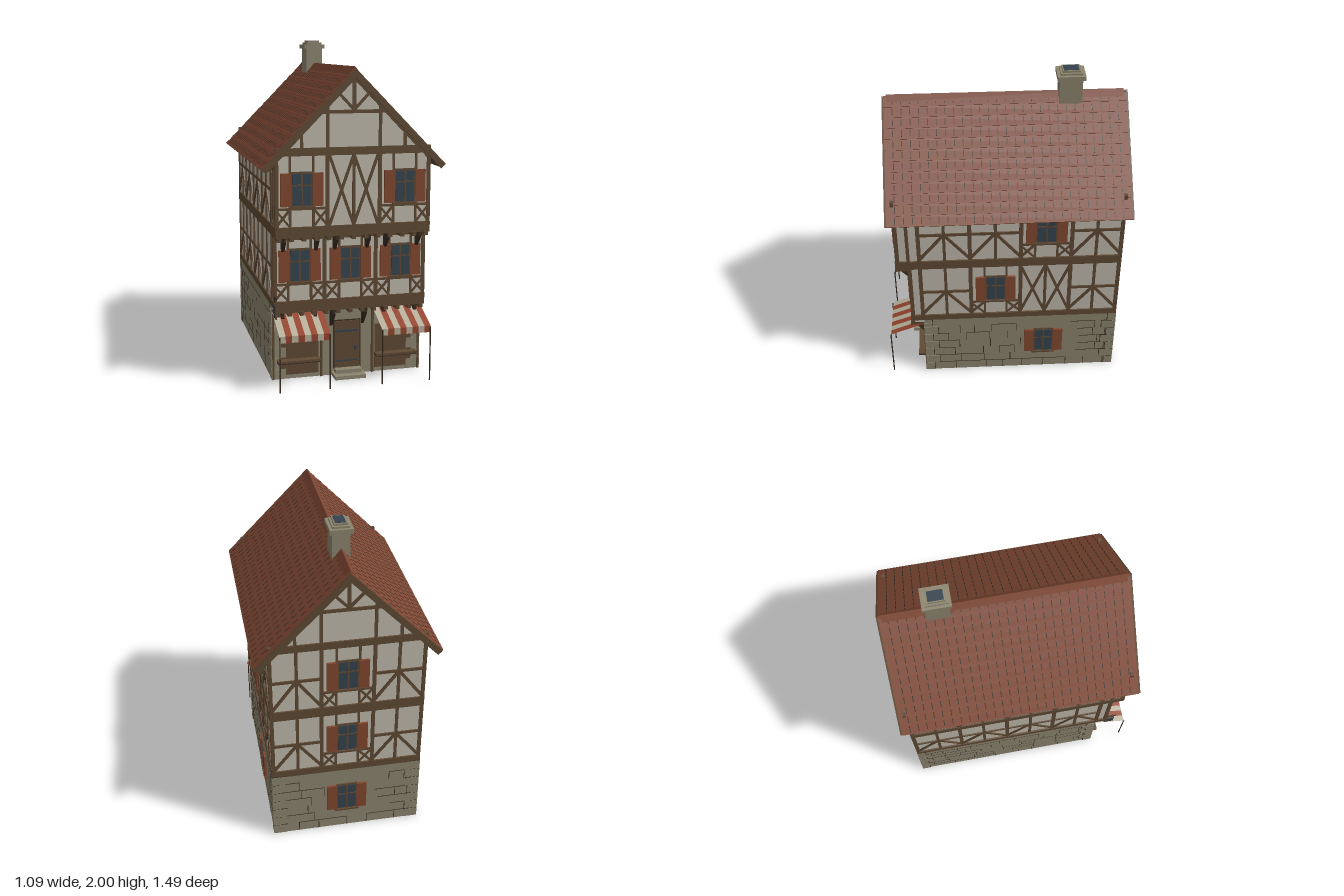
import * as THREE from 'three';
import { mergeGeometries } from 'three/addons/utils/BufferGeometryUtils.js';

const paint = (name, color, side = THREE.FrontSide) => {
  const m = new THREE.MeshStandardMaterial({ color, side });
  m.name = name;
  return m;
};

export function createModel() {
  const M = {
    plaster: paint('plaster', 0xc2bcae), stone: paint('stone', 0x8d866f), timber: paint('timber', 0x604a34),
    tile: paint('roof tile', 0x7d4733), shutter: paint('shutter red', 0x84482f), glass: paint('blue glass', 0x36444f),
    dark: paint('dark iron', 0x3a2d22), red: paint('awning red', 0x96452f, THREE.DoubleSide),
    cream: paint('awning cream', 0xb9b19d, THREE.DoubleSide),
  };
  const root = new THREE.Group();
  root.name = 'timberFramedHouse';
  let seed = 7;
  const rnd = () => (seed = (seed * 16807) % 2147483647) / 2147483647;

  // Collects geometry by colour, then makes one named mesh per colour
  function part(name, pos, rotY, build) {
    const bins = {};
    const p = {
      add(mat, geo) {
        const g = geo.index ? geo.toNonIndexed() : geo;
        (bins[mat] ||= []).push(g);
      },
      // box given by its min and max on each axis
      box(mat, x0, x1, y0, y1, z0, z1) {
        p.add(mat, new THREE.BoxGeometry(x1 - x0, y1 - y0, z1 - z0).translate((x0 + x1) / 2, (y0 + y1) / 2, (z0 + z1) / 2));
      },
      // timber lying on the wall plane
      beam(x0, y0, x1, y1, w = 0.018, proud = 0.008, mat = 'timber') {
        const g = new THREE.BoxGeometry(Math.hypot(x1 - x0, y1 - y0), w, proud * 2);
        g.rotateZ(Math.atan2(y1 - y0, x1 - x0));
        p.add(mat, g.translate((x0 + x1) / 2, (y0 + y1) / 2, 0));
      },
    };
    build(p);
    const group = new THREE.Group();
    group.name = name;
    group.position.set(...pos);
    group.rotation.y = rotY;
    for (const mat in bins) {
      const mesh = new THREE.Mesh(mergeGeometries(bins[mat]), M[mat]);
      mesh.name = `${name} ${M[mat].name}`;
      group.add(mesh);
    }
    root.add(group);
    return group;
  }

  // Window with cross bars, frame, sill and two shutters
  function windowAt(p, x, y, z = 0) {
    const w = 0.06, h = 0.095;
    p.box('timber', x - w - 0.007, x + w + 0.007, y - h - 0.007, y + h + 0.007, z, z + 0.007);
    p.box('glass', x - w + 0.005, x + w - 0.005, y - h + 0.005, y + h - 0.005, z, z + 0.011);
    p.box('timber', x - 0.005, x + 0.005, y - h, y + h, z, z + 0.014);
    p.box('timber', x - w, x + w, y + 0.022, y + 0.03, z, z + 0.014);
    p.box('timber', x - w - 0.015, x + w + 0.015, y - h - 0.012, y - h, z, z + 0.018);
    for (const s of [-1, 1]) {
      const c = x + s * (w + 0.033);
      p.box('shutter', c - 0.031, c + 0.031, y - h, y + h, z, z + 0.014);
    }
  }
  // Framing patterns for one bay
  function kBay(p, a, b, y0, y1) {
    const m = (a + b) / 2, r = y0 + (y1 - y0) * 0.5;
    p.beam(m, y0, m, y1);
    p.beam(a, r, b, r);
    p.beam(m, r, a, y0 + 0.01);
    p.beam(m, r, b, y0 + 0.01);
  }
  function xBay(p, a, b, y0, y1) {
    const m = (a + b) / 2;
    p.beam(m, y0, m, y1);
    for (const [l, r] of [[a, m], [m, b]]) {
      p.beam(l, y0, r, y1, 0.016, 0.0075);
      p.beam(l, y1, r, y0, 0.016, 0.007);
    }
  }
  function windowBay(p, a, b, y0, y1, yc) {
    const m = (a + b) / 2;
    p.beam(a, yc - 0.11, b, yc - 0.11, 0.014);
    for (const s of [-1, 1]) {
      const e = m + s * (b - a) / 2;
      p.beam(m + s * 0.068, y0, m + s * 0.068, y1, 0.014, 0.006);
      p.beam(e, y0 + 0.01, m + s * 0.075, yc - 0.12, 0.014);
      p.beam(m + s * 0.068, y0, e, yc - 0.12, 0.012, 0.006);
    }
    windowAt(p, m, yc);
  }
  // Mortar joints over a stone wall
  function joints(p, a, b, z, skip) {
    for (let i = 1; i < 7; i++) {
      const y = i * 0.066;
      for (let x = a + 0.06; x < b - 0.1;) {
        const e = Math.min(b - 0.06, x + 0.09 + rnd() * 0.12);
        const hit = skip && x < skip + 0.14 && e > skip - 0.14 && y > 0.1 && y < 0.4;
        if (!hit) {
          if (rnd() < 0.7) p.box('dark', x, e, y - 0.002, y + 0.002, z - 0.002, z + 0.001);
          p.box('dark', e - 0.002, e + 0.002, y - 0.066, y, z - 0.002, z + 0.001);
        }
        x = e;
      }
    }
  }

  // Plaster bodies of the two jettied storeys and the gable
  part('plasterBody', [0, 0, 0], 0, (p) => {
    p.box('plaster', -0.452, 0.452, 0.435, 0.94, -0.702, 0.592);
    const s = new THREE.Shape([[-0.452, 0.9], [0.452, 0.9], [0.452, 1.345], [0, 1.81], [-0.452, 1.345]].map((q) => new THREE.Vector2(...q)));
    p.add('plaster', new THREE.ExtrudeGeometry(s, { depth: 1.364, bevelEnabled: false }).translate(0, 0, -0.702));
  });

  // Hollow stone ground floor with wooden lining and corner blocks
  part('groundFloor', [0, 0, 0], 0, (p) => {
    for (const s of [-1, 1]) {
      const x = (a, b) => (s > 0 ? [a, b] : [-b, -a]);
      p.box('stone', ...x(0.43, 0.458), 0, 0.465, -0.71, 0.52);
      p.box('timber', ...x(0.424, 0.43), 0, 0.434, -0.68, 0.49);
      for (let i = 0; i < 7; i++) {
        const w = i % 2 ? 0.05 : 0.085, v = i % 2 ? 0.085 : 0.05, y0 = i * 0.066 + 0.002, y1 = y0 + 0.062;
        p.box('stone', ...x(0.46 - w, 0.462), y0, y1, -0.714, -0.71 + v);
        p.box('stone', ...x(0.46 - w, 0.462), y0, Math.min(y1, 0.43), 0.52 - v, 0.524);
        for (const [z, d] of [[-0.71 + v, 1], [0.52 - v, -1]])
          p.box('dark', ...x(0.456, 0.4615), y0, y1, z - (d < 0 ? 0.004 : 0), z + (d > 0 ? 0.004 : 0));
        p.box('dark', ...x(0.457 - w, 0.4615), y1, y1 + 0.004, -0.7125, -0.71 + v);
      }
      // shop front boarding, counter and posts
      p.box('timber', ...x(0.175, 0.405), 0.025, 0.3, 0.515, 0.5235);
      p.box('timber', ...x(0.4, 0.425), 0.225, 0.3, 0.515, 0.5235);
      p.box('timber', ...x(0.172, 0.43), 0.11, 0.124, 0.52, 0.572);
      p.box('dark', ...x(0.172, 0.43), 0.106, 0.111, 0.52, 0.572);
      p.box('timber', ...x(0.152, 0.166), 0, 0.435, 0.51, 0.532);
      p.box('timber', ...x(0.445, 0.458), 0, 0.435, 0.51, 0.528);
    }
    p.box('stone', -0.45, 0.45, 0, 0.465, -0.71, -0.68);
    p.box('stone', -0.45, 0.45, 0, 0.435, 0.49, 0.52);
    p.box('timber', -0.43, 0.43, 0, 0.434, -0.68, -0.675);
    p.box('timber', -0.43, 0.43, 0, 0.434, 0.485, 0.49);
    // door with frame, hinges, handle and steps
    p.box('dark', -0.086, 0.086, 0.04, 0.342, 0.515, 0.524);
    p.box('timber', -0.078, 0.078, 0.045, 0.335, 0.515, 0.53);
    p.box('glass', -0.075, 0.065, 0.268, 0.28, 0.52, 0.534);
    p.box('glass', -0.075, 0.065, 0.085, 0.093, 0.52, 0.534);
    p.box('glass', 0.045, 0.06, 0.155, 0.175, 0.52, 0.542);
    p.box('stone', -0.095, 0.095, 0, 0.022, 0.52, 0.62);
    p.box('stone', -0.08, 0.08, 0.022, 0.045, 0.52, 0.575);
  });

  // Front framing of each storey
  part('frontLowerFraming', [0, 0, 0.592], 0, (p) => {
    p.beam(-0.46, 0.465, 0.46, 0.465, 0.07, 0.011);
    for (const x of [-0.45, -0.155, 0.155, 0.45]) p.beam(x, 0.46, x, 0.9, 0.022);
    for (const x of [-0.305, 0, 0.305]) windowBay(p, x - 0.145, x + 0.145, 0.5, 0.89, 0.71);
    p.beam(-0.46, 0.87, 0.46, 0.87, 0.016);
  });
  function gable(p) {
    p.beam(-0.46, 1.378, 0.46, 1.378, 0.045, 0.01);
    p.beam(-0.21, 1.6, 0.21, 1.6, 0.02);
    p.beam(0, 1.6, 0, 1.81, 0.02);
    for (const s of [-1, 1]) {
      p.beam(s * 0.155, 1.39, s * 0.155, 1.65);
      p.beam(s * 0.305, 1.39, s * 0.305, 1.5);
      p.beam(0, 1.61, s * 0.095, 1.71, 0.016);
      p.beam(s * 0.44, 1.39, s * 0.31, 1.48, 0.014, 0.006);
      p.beam(s * 0.45, 1.335, 0, 1.798, 0.025);
    }
  }
  part('frontUpperFraming', [0, 0, 0.662], 0, (p) => {
    p.beam(-0.46, 0.92, 0.46, 0.92, 0.062, 0.011);
    for (const x of [-0.45, -0.155, 0.155, 0.45]) p.beam(x, 0.92, x, 1.37, 0.022);
    for (const x of [-0.305, 0.305]) windowBay(p, x - 0.145, x + 0.145, 0.95, 1.36, 1.165);
    xBay(p, -0.145, 0.145, 0.95, 1.36);
    gable(p);
  });

  // Back wall
  part('backFraming', [0, 0, -0.702], Math.PI, (p) => {
    p.beam(-0.46, 0.48, 0.46, 0.48, 0.045, 0.01);
    p.beam(-0.46, 0.92, 0.46, 0.92, 0.062, 0.01);
    for (const x of [-0.45, -0.155, 0.155, 0.45]) p.beam(x, 0.47, x, 1.37, 0.022);
    for (const [a, b, yc] of [[0.5, 0.89, 0.71], [0.95, 1.36, 1.165]]) {
      for (const x of [-0.3, 0.3]) kBay(p, x - 0.145, x + 0.145, a, b);
      windowBay(p, -0.145, 0.145, a, b, yc);
    }
    gable(p);
    windowAt(p, 0, 0.245, 0.008);
    joints(p, -0.45, 0.45, 0.008, 0.001);
  });

  // Side walls; u runs along the wall, z is turned into it by the side sign
  for (const s of [1, -1]) {
    part(s > 0 ? 'leftSideFraming' : 'rightSideFraming', [s * 0.452, 0, 0], s * Math.PI / 2, (p) => {
      const u = (z) => -s * z;
      const posts = [0.525, 0.217, -0.092, -0.4, -0.7];
      p.beam(u(0.6), 0.48, u(-0.71), 0.48, 0.04, 0.01);
      p.beam(u(0.67), 0.92, u(-0.71), 0.92, 0.06, 0.01);
      p.beam(u(0.67), 1.29, u(-0.71), 1.29, 0.025);
      for (const z of posts) p.beam(u(z), 0.48, u(z), 1.3, 0.024);
      p.beam(u(0.588), 0.47, u(0.588), 0.9, 0.024);
      for (const z of [0.655, 0.592]) p.beam(u(z), 0.92, u(z), 1.34, 0.02);
      for (let i = 0; i < 4; i++) {
        const [a, b] = [u(posts[i]), u(posts[i + 1])].sort((m, n) => m - n);
        if (s > 0 && i === 1) windowBay(p, a, b, 0.5, 0.89, 0.71);
        else if (s > 0 && i === 2) xBay(p, a, b, 0.5, 0.89);
        else kBay(p, a, b, 0.5, 0.89);
        if (s > 0 && i === 2) windowBay(p, a, b, 0.95, 1.285, 1.165);
        else kBay(p, a, b, 0.95, 1.35);
      }
      if (s > 0) windowAt(p, u(-0.246), 0.245, 0.006);
      joints(p, Math.min(u(0.52), u(-0.71)), Math.max(u(0.52), u(-0.71)), 0.006, s > 0 ? u(-0.246) : 0);
    });
  }

  // Jetty brackets and joist ends
  part('jettySupports', [0, 0, 0], 0, (p) => {
    const bracket = (x, y, z, h, d) => {
      const s = new THREE.Shape([[0, 0], [d, h * 0.75], [d, h], [0, h]].map((q) => new THREE.Vector2(...q)));
      const g = new THREE.ExtrudeGeometry(s, { depth: 0.018, bevelEnabled: false });
      p.add('dark', g.rotateY(-Math.PI / 2).translate(x + 0.009, y, z));
    };
    for (const x of [-0.405, -0.21, -0.097, 0.097, 0.21, 0.405]) {
      bracket(x, 0.78, 0.592, 0.11, 0.07);
      bracket(x, 0.31, 0.52, 0.12, 0.075);
    }
    for (let i = -6; i <= 6; i++) {
      const x = i * 0.073;
      p.box('timber', x - 0.012, x + 0.012, 0.868, 0.892, 0.59, 0.677);
      p.box('timber', x - 0.012, x + 0.012, 0.41, 0.434, 0.51, 0.607);
    }
  });

  // Striped awnings with valance and posts
  for (const s of [-1, 1]) {
    part(s > 0 ? 'leftAwning' : 'rightAwning', [s * 0.305, 0, 0], 0, (p) => {
      const n = 8, w = 0.3 / n, slope = Math.hypot(0.215, 0.085);
      for (let i = 0; i < n; i++) {
        const x = -0.15 + (i + 0.5) * w, mat = i % 2 ? 'red' : 'cream';
        const top = new THREE.PlaneGeometry(w, slope).rotateX(-Math.atan2(0.215, 0.085));
        p.add(mat, top.translate(x, 0.3775, 0.6305));
        p.add(mat, new THREE.PlaneGeometry(w, 0.04).translate(x, 0.315, 0.738));
      }
      for (const x of [-0.147, 0.147]) p.add('dark', new THREE.CylinderGeometry(0.004, 0.004, 0.33, 6).translate(x, 0.165, 0.742));
    });
  }

  // Hanging sign on an iron arm
  part('hangingSign', [-0.455, 0, 0], 0, (p) => {
    p.box('dark', -0.004, 0.004, 0.528, 0.537, 0.59, 0.66);
    for (const z of [0.602, 0.64]) p.box('dark', -0.002, 0.002, 0.49, 0.53, z - 0.002, z + 0.002);
    p.box('timber', -0.004, 0.004, 0.41, 0.495, 0.59, 0.652);
    p.box('glass', -0.006, 0.006, 0.417, 0.488, 0.597, 0.645);
  });

  // Roof slopes: overlapping tile courses, joints, bargeboards
  const len = Math.hypot(0.54, 0.55), rows = 12, step = len / rows;
  for (const s of [-1, 1]) {
    const slope = part(s > 0 ? 'leftRoofSlope' : 'rightRoofSlope', [0, 1.84, 0], 0, (p) => {
      p.box('timber', s > 0 ? 0 : -len, s > 0 ? len : 0, -0.03, -0.012, -0.735, 0.695);
      for (let i = 0; i < rows; i++) {
        const x = s * (i + 0.5) * step;
        p.add('tile', new THREE.BoxGeometry(step * 1.08, 0.012, 1.43).rotateZ(s * 0.07).translate(x, -0.004, -0.02));
        for (let k = 1; k < 28; k++) {
          const z = -0.735 + k * 0.0511;
          p.add('dark', new THREE.BoxGeometry(step * 0.62, 0.004, 0.005).rotateZ(s * 0.07).translate(x, 0.0015, z));
        }
      }
      for (const z of [-0.74, 0.7]) p.box('timber', s > 0 ? 0 : -len, s > 0 ? len : 0, -0.036, 0, z - 0.006, z + 0.006);
    });
    slope.rotation.z = -s * Math.atan2(0.55, 0.54);
  }
  part('ridgeCap', [0, 0, 0], 0, (p) => {
    const s = new THREE.Shape([[-0.03, 1.815], [0.03, 1.815], [0, 1.852]].map((q) => new THREE.Vector2(...q)));
    p.add('tile', new THREE.ExtrudeGeometry(s, { depth: 1.4, bevelEnabled: false }).translate(0, 0, -0.72));
  });

  // Chimney with stepped cap and dark flue
  part('chimney', [0, 0, -0.403], 0, (p) => {
    p.box('stone', -0.052, 0.052, 1.75, 1.95, -0.068, 0.068);
    p.box('stone', -0.068, 0.068, 1.945, 1.973, -0.083, 0.083);
    p.box('stone', -0.05, 0.05, 1.973, 1.985, -0.065, 0.065);
    p.box('stone', -0.038, 0.038, 1.985, 1.998, -0.052, 0.052);
    p.box('glass', -0.031, 0.031, 1.99, 2, -0.045, 0.045);
  });
  return root;
}
